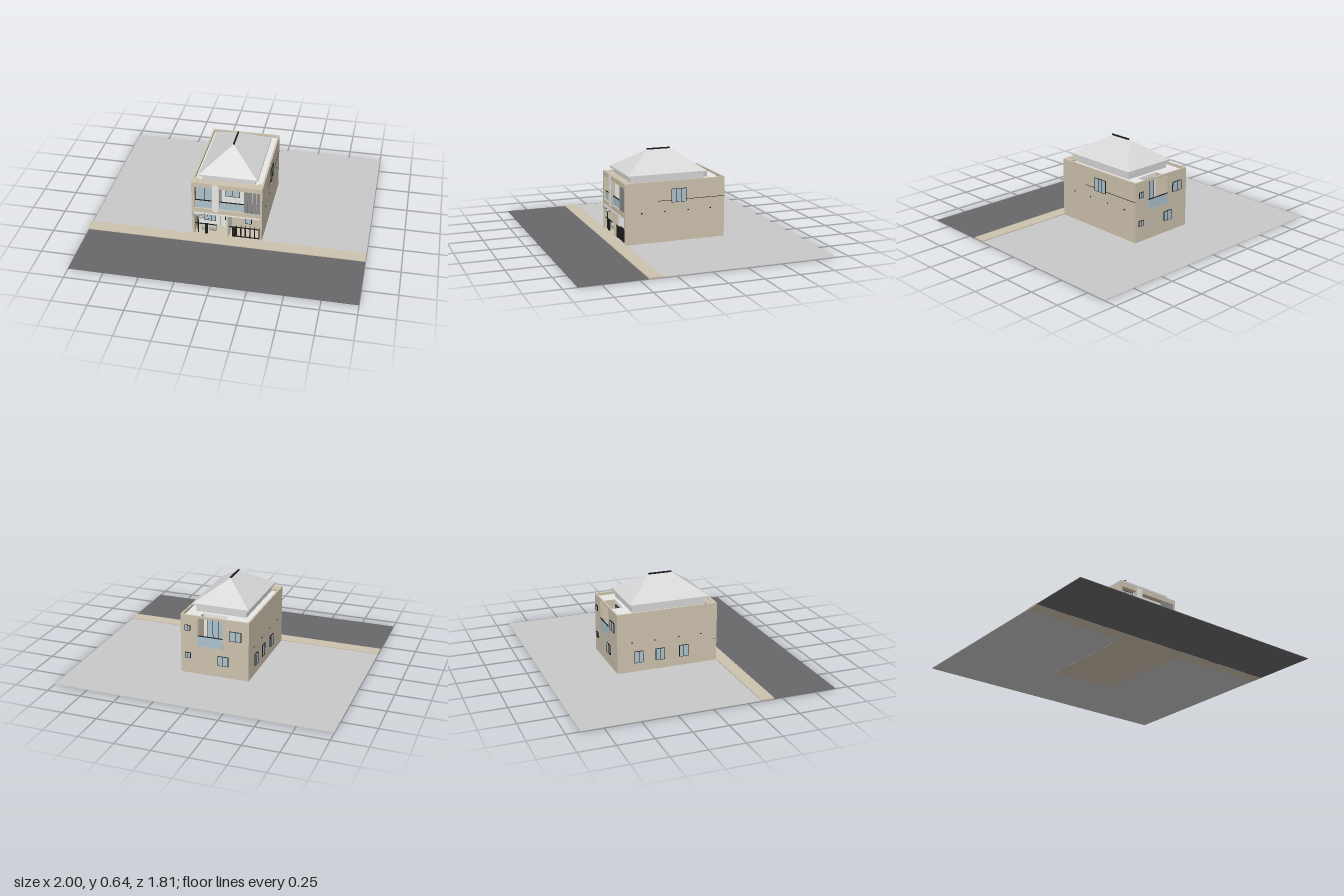
import * as THREE from 'three';

const mat = (name, color) => {
  const m = new THREE.MeshStandardMaterial({ color });
  m.name = name;
  return m;
};

export function createModel() {
  const root = new THREE.Group();
  root.name = 'house';
  const M = {
    beige: mat('beige wall', 0xcdc2ae),
    white: mat('white plaster', 0xf4f4f2),
    lawn: mat('light grey ground', 0xc8c8c8),
    road: mat('asphalt', 0x68686a),
    roof: mat('pale grey roof', 0xd6d6d6),
    glass: mat('blue glass', 0xacc2cc),
    black: mat('black metal', 0x1c1c1c),
    louver: mat('grey louver', 0x8a8a8a),
    plant: mat('grey foliage', 0xb0b0b0),
  };

  const add = (name, geo, m, parent = root) => {
    const mesh = new THREE.Mesh(geo, m);
    mesh.name = name;
    parent.add(mesh);
    return mesh;
  };
  // Box given by its limits on each axis
  const box = (name, m, x0, x1, y0, y1, z0, z1, parent = root) => {
    const b = add(name, new THREE.BoxGeometry(x1 - x0, y1 - y0, z1 - z0), m, parent);
    b.position.set((x0 + x1) / 2, (y0 + y1) / 2, (z0 + z1) / 2);
    return b;
  };
  // Wall with rectangular openings [x0, x1, y0, y1]
  const wall = (name, m, x0, x1, y0, y1, z, depth, holes) => {
    const rect = (P, a, b, c, d) => {
      const p = new P();
      p.moveTo(a, c); p.lineTo(b, c); p.lineTo(b, d); p.lineTo(a, d); p.closePath();
      return p;
    };
    const s = rect(THREE.Shape, x0, x1, y0, y1);
    holes.forEach((h) => s.holes.push(rect(THREE.Path, ...h)));
    add(name, new THREE.ExtrudeGeometry(s, { depth, bevelEnabled: false }), m).position.z = z;
  };
  // Glass plate with dark mullions, facing +z before turning
  const windowUnit = (name, x, y, z, w, h, turn = 0, panes = 2) => {
    const g = new THREE.Group();
    g.name = name;
    box('pane', M.glass, -w / 2, w / 2, -h / 2, h / 2, -0.003, 0.003, g);
    for (let i = 0; i <= panes; i++) {
      const u = -w / 2 + (w * i) / panes;
      box('mullion', M.black, u - 0.0015, u + 0.0015, -h / 2, h / 2, -0.004, 0.005, g);
    }
    for (const v of [-h / 2, h / 2]) {
      box('frameRail', M.black, -w / 2, w / 2, v - 0.001, v + 0.001, -0.004, 0.005, g);
    }
    g.position.set(x, y, z);
    g.rotation.y = turn;
    root.add(g);
  };
  const blob = (name, x, y, z, rx, ry, rz) => {
    const b = add(name, new THREE.SphereGeometry(1, 14, 10), M.plant);
    b.scale.set(rx, ry, rz);
    b.position.set(x, y, z);
  };

  // Ground, pavement and road
  box('ground', M.lawn, -1, 1, 0.001, 0.005, -0.905, 0.345);
  box('pavement', M.beige, -1, 1, 0, 0.011, 0.345, 0.44);
  box('road', M.road, -1, 1, 0.001, 0.005, 0.44, 0.905);
  box('floorSlab', M.beige, -0.25, 0.25, 0, 0.01, -0.41, 0.345);

  // Side walls, facade and back wall
  for (const s of [-1, 1]) {
    const x = s * 0.247;
    box('sideWall', M.beige, x - 0.006, x + 0.006, 0, 0.445, -0.41, 0.345);
  }
  wall('facade', M.beige, -0.252, 0.252, 0, 0.445, 0.315, 0.03, [
    [-0.232, -0.107, 0.232, 0.41], [-0.053, 0.238, 0.232, 0.41],
    [-0.235, 0.0, 0.01, 0.19], [0.012, 0.236, 0.01, 0.19],
  ]);
  wall('backWall', M.beige, -0.252, 0.252, 0, 0.445, -0.41, 0.012,
    [[-0.062, 0.125, 0.22, 0.43]]);
  box('pillarFace', M.white, -0.103, -0.057, 0.215, 0.44, 0.342, 0.349);
  box('facadeLedge', M.white, -0.235, 0.236, 0.19, 0.198, 0.342, 0.35);

  // Inner walls, floors and flat roof around the balcony cut
  box('porchBackWallLeft', M.white, -0.241, 0.006, 0.01, 0.205, 0.2, 0.215);
  box('porchBackWallRight', M.beige, 0.006, 0.241, 0.01, 0.205, 0.2, 0.215);
  box('porchDivider', M.white, 0, 0.012, 0.01, 0.19, 0.215, 0.316);
  box('upperFloor', M.white, -0.241, 0.241, 0.2, 0.222, -0.29, 0.316);
  box('upperBackWall', M.white, -0.241, 0.241, 0.222, 0.42, 0.2, 0.215);
  box('upperDivider', M.white, -0.1, -0.06, 0.222, 0.42, 0.215, 0.316);
  box('flatRoof', M.white, -0.241, 0.241, 0.41, 0.425, -0.3, 0.28);
  box('flatRoofBackLeft', M.white, -0.241, -0.062, 0.41, 0.425, -0.4, -0.3);
  box('flatRoofBackRight', M.white, 0.125, 0.241, 0.41, 0.425, -0.4, -0.3);
  box('frontRoofBand', M.beige, -0.215, 0.215, 0.425, 0.44, 0.28, 0.316);
  for (const s of [-1, 1]) {
    box('parapetCorner', M.beige, s * 0.228 - 0.014, s * 0.228 + 0.014, 0.41, 0.445, 0.275, 0.316);
  }

  // Back balcony
  box('balconyFloor', M.glass, -0.062, 0.125, 0.215, 0.222, -0.4, -0.29);
  box('balconyBackWall', M.white, -0.062, 0.125, 0.222, 0.41, -0.3, -0.29);
  for (const x of [-0.062, 0.125]) box('balconySide', M.beige, x - 0.003, x + 0.003, 0.222, 0.425, -0.4, -0.295);
  box('balconyRailGlass', M.glass, -0.062, 0.125, 0.222, 0.295, -0.412, -0.406);
  box('balconyHandrail', M.black, -0.062, 0.125, 0.295, 0.299, -0.413, -0.405);
  windowUnit('balconyDoor', 0.03, 0.31, -0.304, 0.12, 0.17, Math.PI, 3);
  for (const x of [0.02, 0.06, 0.1]) blob('balconyPlant', x, 0.26, -0.382, 0.02, 0.022, 0.018);
  for (const x of [0.01, 0.03, 0.05]) box('balconyStool', M.black, x - 0.004, x + 0.004, 0.222, 0.24, -0.33, -0.32);

  // Hipped roof on its plinth
  box('roofPlinth', M.roof, -0.188, 0.188, 0.42, 0.475, -0.275, 0.28);
  box('eaves', M.roof, -0.21, 0.21, 0.474, 0.488, -0.295, 0.303);
  const A = [-0.207, 0.488, 0.3], B = [0.207, 0.488, 0.3], C = [0.207, 0.488, -0.292];
  const D = [-0.207, 0.488, -0.292], F = [0, 0.632, 0.088], K = [0, 0.632, -0.085];
  const hip = new THREE.BufferGeometry();
  const tris = [A, B, F, B, C, K, B, K, F, C, D, K, D, A, F, D, F, K];
  hip.setAttribute('position', new THREE.Float32BufferAttribute(tris.flat(), 3));
  hip.computeVertexNormals();
  add('hippedRoof', hip, M.roof);
  box('ridgeCap', M.black, -0.005, 0.005, 0.628, 0.638, -0.085, 0.09);

  // Front glazing, glass railings and louvers
  windowUnit('upperLeftWindow', -0.17, 0.321, 0.3, 0.124, 0.176, 0, 2);
  windowUnit('upperRightWindow', 0.02, 0.33, 0.218, 0.1, 0.11, 0, 2);
  for (const [x0, x1] of [[-0.232, -0.107], [-0.053, 0.238]]) {
    box('railingGlass', M.glass, x0, x1, 0.232, 0.292, 0.325, 0.331);
    box('handrail', M.black, x0, x1, 0.292, 0.296, 0.324, 0.332);
  }
  for (let i = 0; i < 4; i++) {
    const x = 0.124 + i * 0.029;
    box('louver', M.louver, x, x + 0.026, 0.232, 0.41, 0.333, 0.341);
  }
  windowUnit('porchWindow', -0.15, 0.115, 0.219, 0.085, 0.13, 0, 3);
  windowUnit('garageWindow', 0.134, 0.115, 0.219, 0.045, 0.12, 0, 1);
  box('doorFrame', M.louver, -0.074, -0.003, 0.01, 0.183, 0.214, 0.218);
  box('frontDoor', M.white, -0.068, -0.01, 0.01, 0.178, 0.216, 0.223);
  box('doorHandle', M.black, -0.036, -0.032, 0.07, 0.11, 0.222, 0.228);

  // Front gate fins, fence rails and posts
  for (let i = 0; i < 6; i++) {
    const x = 0.065 + i * 0.033;
    box('gateFin', M.black, x - 0.0015, x + 0.0015, 0.012, 0.094, 0.305, 0.34);
  }
  box('gateRail', M.black, 0.012, 0.236, 0.09, 0.095, 0.328, 0.334);
  box('gateBottomRail', M.black, 0.04, 0.236, 0.012, 0.018, 0.328, 0.334);
  box('gatePost', M.black, 0.038, 0.058, 0.012, 0.095, 0.325, 0.338);
  box('fenceRail', M.black, -0.235, -0.075, 0.09, 0.095, 0.328, 0.334);
  box('fencePost', M.black, -0.16, -0.143, 0.012, 0.095, 0.325, 0.338);

  // Side and back windows
  windowUnit('rightSideWindow', 0.255, 0.338, -0.058, 0.11, 0.095, Math.PI / 2, 3);
  for (const z of [-0.25, -0.09, 0.09]) {
    windowUnit('leftSideWindow', -0.255, 0.115, z, 0.065, 0.085, -Math.PI / 2, 2);
  }
  for (const [x, y, w, h] of [[0.2, 0.35, 0.04, 0.04], [-0.155, 0.33, 0.085, 0.07],
    [-0.065, 0.13, 0.075, 0.07], [0.2, 0.14, 0.04, 0.04]]) {
    windowUnit('backWindow', x, y, -0.412, w, h, Math.PI, 2);
  }
  box('wallSeam', M.black, 0.25, 0.2545, 0.304, 0.307, -0.41, 0.1);
  // Small wall vents
  for (const s of [-1, 1]) {
    for (const z of [-0.3, -0.13, 0.05, 0.22]) {
      box('wallVent', M.black, s * 0.2535 - 0.002, s * 0.2535 + 0.002, 0.222, 0.23, z - 0.005, z + 0.005);
    }
  }

  // Front tree and shrubs
  const trunk = add('treeTrunk', new THREE.CylinderGeometry(0.004, 0.005, 0.15, 8), M.black);
  trunk.position.set(-0.213, 0.085, 0.325);
  blob('treeCrown', -0.217, 0.177, 0.328, 0.042, 0.022, 0.028);
  blob('treeCrownLower', -0.192, 0.156, 0.328, 0.026, 0.016, 0.022);
  for (const x of [-0.18, -0.125, -0.1]) blob('shrub', x, 0.035, 0.29, 0.018, 0.024, 0.018);

  return root;
}
